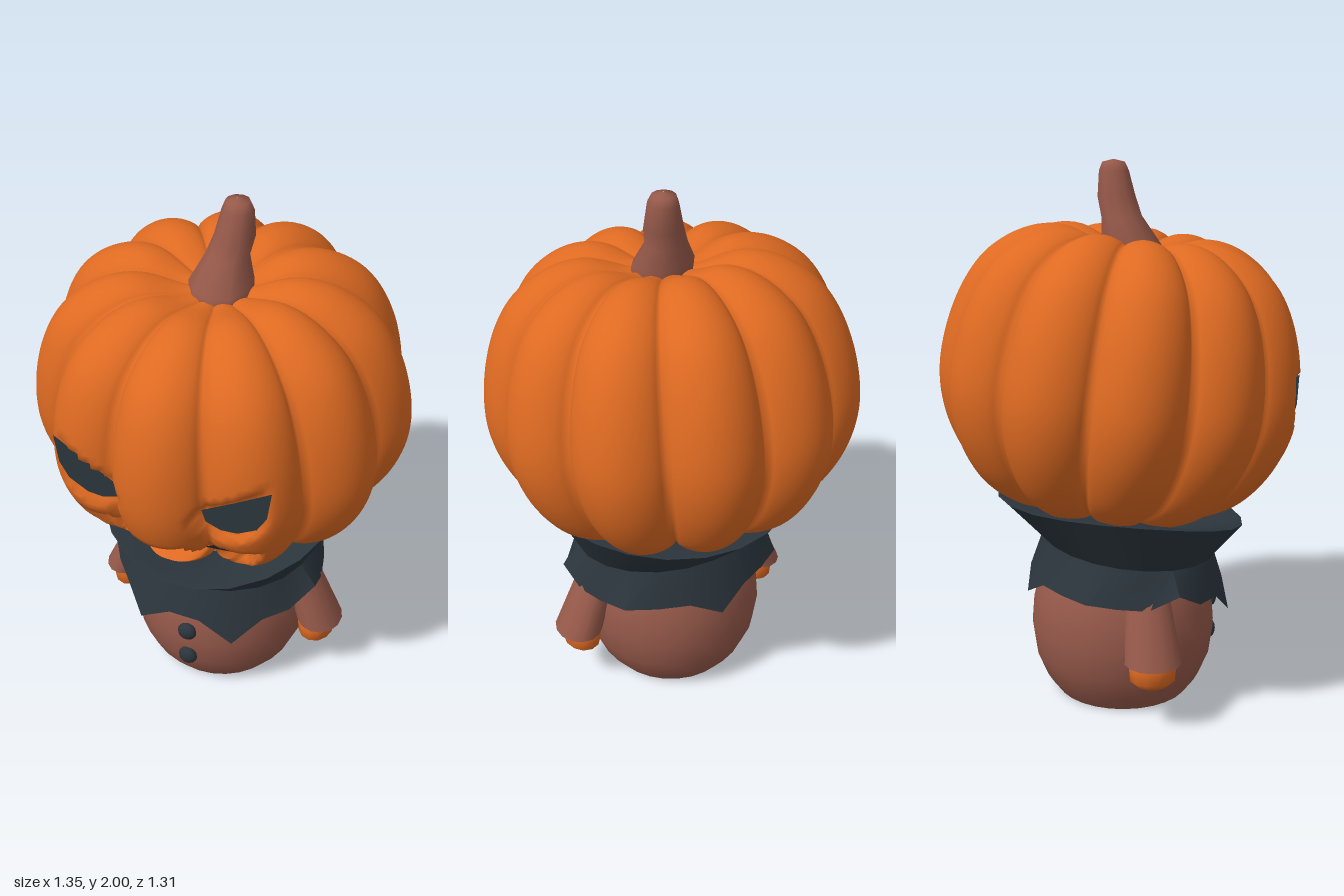
import * as THREE from 'three';
import { toCreasedNormals } from 'three/addons/utils/BufferGeometryUtils.js';

const mat = (name, color, side = THREE.FrontSide) => {
  const m = new THREE.MeshStandardMaterial({ color, side });
  m.name = name;
  return m;
};

// Closed surface from stacked rings; point(angle, row, column) gives [x, y, z], angle 0 faces +z.
function rings(cols, rows, point) {
  const pos = [], idx = [];
  for (let j = 0; j < rows; j++) {
    for (let i = 0; i < cols; i++) pos.push(...point((i / cols) * Math.PI * 2, j, i));
  }
  for (let j = 0; j < rows - 1; j++) {
    for (let i = 0; i < cols; i++) {
      const a = j * cols + i, b = j * cols + (i + 1) % cols;
      idx.push(a, b, b + cols, a, b + cols, a + cols);
    }
  }
  const g = new THREE.BufferGeometry();
  g.setAttribute('position', new THREE.Float32BufferAttribute(pos, 3));
  g.setIndex(idx);
  g.computeVertexNormals();
  return g;
}

// Face outlines for the +x half
const eyeOutline = [[0.40, 1.28], [0.27, 1.20], [0.15, 1.13], [0.165, 1.085], [0.22, 1.065], [0.28, 1.07], [0.35, 1.11], [0.385, 1.17]];
const mouthOutline = [[0, 0.93], [0.07, 0.93], [0.13, 0.875], [0.19, 0.93], [0.32, 0.95], [0.275, 0.86], [0.23, 0.80], [0.12, 0.85], [0, 0.84]];
const eyeDepth = () => 0.535;
const mouthDepth = (x, y) => 0.46 + (y - 0.87) * 0.8 - 0.25 * Math.abs(x);

// Distance to an outline, zero inside
function outside(x, y, outline) {
  let inside = false, d = Infinity;
  outline.forEach(([ax, ay], i) => {
    const [bx, by] = outline[(i + 1) % outline.length];
    if ((ay > y) !== (by > y) && x < ax + ((y - ay) * (bx - ax)) / (by - ay)) inside = !inside;
    const ex = bx - ax, ey = by - ay;
    const t = THREE.MathUtils.clamp(((x - ax) * ex + (y - ay) * ey) / (ex * ex + ey * ey), 0, 1);
    d = Math.min(d, Math.hypot(x - ax - ex * t, y - ay - ey * t));
  });
  return inside ? 0 : d;
}

// Ribbed pumpkin, leaning forward, with sunken eyes and mouth
function pumpkinGeometry() {
  const profile = new THREE.SplineCurve([[0.001, 0.72], [0.28, 0.73], [0.43, 0.775], [0.55, 0.865], [0.645, 1.02],
    [0.682, 1.2], [0.65, 1.42], [0.565, 1.6], [0.43, 1.71], [0.28, 1.745], [0.12, 1.7], [0.001, 1.69]]
    .map(p => new THREE.Vector2(...p)));
  const rows = 74, mid = 1.22, lean = 0.12;
  const pts = profile.getSpacedPoints(rows - 1);
  return rings(198, rows, (a, j) => {
    const p = pts[j];
    const groove = 1 - Math.pow(Math.abs(Math.cos(5.5 * a)), 0.7);
    const r = p.x * (1 - 0.125 * groove);
    const ly = (p.y - mid) * (1 - 0.06 * groove * Math.min(1, p.x / 0.25));
    const x = r * Math.sin(a), lz = r * Math.cos(a) * 0.975;
    const y = mid + ly * Math.cos(lean) - lz * Math.sin(lean);
    let z = lz * Math.cos(lean) + ly * Math.sin(lean);
    if (z > 0.2) {
      for (const [outline, depth] of [[eyeOutline, eyeDepth], [mouthOutline, mouthDepth]]) {
        const k = 1 - THREE.MathUtils.smoothstep(outside(Math.abs(x), y, outline), 0.006, 0.03);
        z = THREE.MathUtils.lerp(z, Math.min(z, depth(x, y)), k);
      }
    }
    return [x, y, z];
  });
}

// Flat dark panel at the bottom of a carved opening
function panel(outline, depth, side) {
  const shape = new THREE.Shape(outline.map(([x, y]) => new THREE.Vector2(x * side, y)));
  const g = new THREE.ShapeGeometry(shape);
  const p = g.attributes.position;
  for (let i = 0; i < p.count; i++) p.setZ(i, depth(p.getX(i), p.getY(i)) + 0.008);
  g.computeVertexNormals();
  return g;
}

// Flared collar: pointed hem, narrow waist, wide rim and shallow inner bowl
function collarGeometry() {
  const tips = [0.34, 0.5, 0.47, 0.41, 0.47, 0.5, 0.34];
  return toCreasedNormals(rings(21, 5, (a0, j, i) => {
    const a = a0 + Math.PI / 7, c = Math.cos(a), s = Math.sin(a);
    if (j === 0) {
      const tip = i % 3 === 0;
      const r = tip ? 0.385 : 0.365;
      return [r * 1.13 * s, tip ? tips[i / 3] : 0.45 - 0.025 * c, r * c + 0.025];
    }
    if (j === 1) return [0.37 * s, 0.585 - 0.03 * c, 0.32 * c + 0.03];
    const r = [0.462, 0.44, 0.2][j - 2];
    const y = [0.749, 0.75, 0.7][j - 2] - 0.0675 * c - 0.026 * Math.cos(2 * a);
    return [r * s, y, r * c];
  }), 0.6);
}

export function createModel() {
  const model = new THREE.Group();
  model.name = 'pumpkinFigure';
  const orange = mat('orange', 0xde6a22);
  const brown = mat('brown', 0x96594a);
  const dark = mat('charcoal', 0x2b353c, THREE.DoubleSide);
  const add = (name, geometry, material, x = 0, y = 0, z = 0) => {
    const m = new THREE.Mesh(geometry, material);
    m.name = name;
    m.position.set(x, y, z);
    model.add(m);
    return m;
  };

  // Head
  add('pumpkinHead', pumpkinGeometry(), orange);
  for (const side of [1, -1]) {
    add(side > 0 ? 'leftEye' : 'rightEye', panel(eyeOutline, eyeDepth, side), dark);
    add(side > 0 ? 'leftMouthHalf' : 'rightMouthHalf', panel(mouthOutline, mouthDepth, side), dark);
  }

  // Bent stem: x, y, z, radius of each ring
  const stem = [[0.01, 1.66, 0.05, 0.11], [0.01, 1.715, 0.045, 0.112], [0.018, 1.8, 0.01, 0.075], [0.038, 1.87, -0.004, 0.07],
    [0.045, 1.96, -0.012, 0.055], [0.043, 1.99, -0.014, 0.042], [0.043, 2.0, -0.014, 0.001]];
  add('stem', rings(10, stem.length, (a, j) => {
    const [x, y, z, r] = stem[j];
    return [x + r * Math.sin(a), y + (j === 1 ? -0.02 * Math.cos(a) : 0), z + r * Math.cos(a)];
  }), brown);

  // Collar and body
  add('collar', collarGeometry(), dark);
  const bodyProfile = [[0.001, 0], [0.25, 0], [0.25, 0], [0.295, 0.06], [0.333, 0.15], [0.348, 0.26], [0.34, 0.36], [0.315, 0.46], [0.26, 0.56], [0.001, 0.62]];
  add('body', toCreasedNormals(new THREE.LatheGeometry(bodyProfile.map(p => new THREE.Vector2(...p)), 28), 0.8), brown, 0, 0, 0.01);

  // Coat buttons
  for (const [y, z] of [[0.32, 0.36], [0.187, 0.357]]) {
    add('button', new THREE.SphereGeometry(0.038, 10, 8), dark, 0, y, z).scale.z = 0.65;
  }

  // Sleeves and hands
  const sleeve = [[0.30, 0.54, 0.03], [0.325, 0.51, 0.075], [0.345, 0.46, 0.083], [0.418, 0.262, 0.105], [0.418, 0.262, 0.001]];
  const hand = [[0.165, 0.001], [0.168, 0.06], [0.19, 0.084], [0.235, 0.088], [0.28, 0.08]];
  for (const side of [1, -1]) {
    const label = side > 0 ? 'left' : 'right';
    // Rows run downward, so the angle is reversed to face outward
    const g = rings(14, sleeve.length, (a, j) => {
      const [x, y, r] = sleeve[j];
      const dx = -r * 0.84 * Math.sin(a);
      return [side * x + dx, y - (r > 0.05 ? side * dx * 0.08 : 0), 0.015 + r * Math.cos(a)];
    });
    add(label + 'Sleeve', toCreasedNormals(g, 0.8), brown);
    add(label + 'Hand', rings(12, hand.length, (a, j) => {
      const [y, r] = hand[j];
      return [side * 0.407 + r * 0.8 * Math.sin(a), y, 0.017 + r * Math.cos(a)];
    }), orange);
  }
  return model;
}
